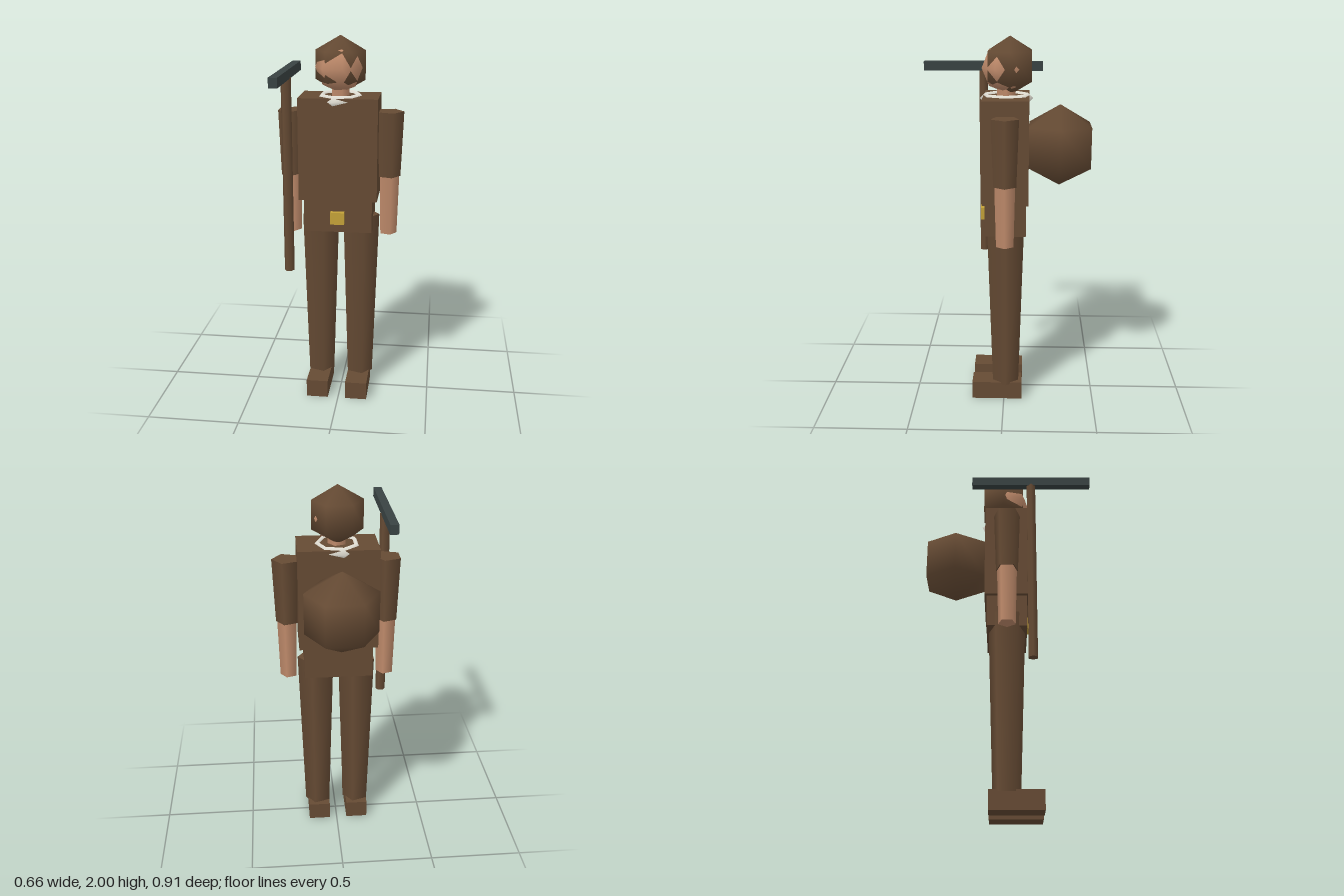
import * as THREE from 'three';

export function createModel() {
  const paint = (name, color) => {
    const m = new THREE.MeshStandardMaterial({ color });
    m.name = name;
    return m;
  };
  const brown = paint('brown cloth', 0x664b34);
  const skin = paint('skin', 0xc18c6c);
  const white = paint('white collar', 0xe6e3d8);
  const gold = paint('brass', 0xc4a238);
  const iron = paint('dark iron', 0x394343);

  const model = new THREE.Group();
  model.name = 'miner';
  // The body sits slightly off centre so that the whole outline is centred
  const body = new THREE.Group();
  body.name = 'body';
  body.position.set(-0.0085, 0, -0.009);
  model.add(body);

  const add = (parent, name, geometry, material, x, y, z) => {
    const mesh = new THREE.Mesh(geometry, material);
    mesh.name = name;
    mesh.position.set(x, y, z);
    parent.add(mesh);
    return mesh;
  };
  const box = (parent, name, material, size, x, y, z) =>
    add(parent, name, new THREE.BoxGeometry(...size), material, x, y, z);
  // Tapered post between two heights, with one corner pointing to +x
  const post = (parent, name, material, rTop, rBottom, top, bottom, sides, x, z = 0) =>
    add(parent, name,
      new THREE.CylinderGeometry(rTop, rBottom, top - bottom, sides).rotateY(Math.PI / 2),
      material, x, (top + bottom) / 2, z);

  // Trunk
  box(body, 'torso', brown, [0.417, 0.545, 0.242], 0, 1.42, 0);
  box(body, 'hips', brown, [0.365, 0.178, 0.217], 0, 1.06, 0);
  box(body, 'beltBuckle', gold, [0.074, 0.066, 0.05], -0.001, 1.054, 0.113);

  // Limbs
  for (const [side, s] of [['left', 1], ['right', -1]]) {
    post(body, side + 'UpperArm', brown, 0.075, 0.062, 1.614, 1.266, 5, s * 0.263);
    post(body, side + 'Forearm', skin, 0.056, 0.048, 1.27, 0.945, 5, s * 0.263);
    post(body, side + 'Leg', brown, 0.105, 0.075, 1.047, 0.09, 5, s * 0.1105);
    box(body, side + 'Boot', brown, [0.12, 0.1, 0.277], s * 0.1095, 0.05, 0.048);
  }

  // Collar, neck, face and hair
  const collar = new THREE.TorusGeometry(0.11, 0.03, 4, 7).rotateX(Math.PI / 2);
  add(body, 'collar', collar, white, 0, 1.675, 0).scale.set(0.95, 1, 1.04);
  post(body, 'neck', skin, 0.05, 0.05, 1.78, 1.66, 5, 0);
  add(body, 'face', new THREE.SphereGeometry(0.131, 7, 4), skin, 0, 1.838, 0);
  add(body, 'hair', new THREE.SphereGeometry(0.152, 6, 3), brown, 0, 1.848, -0.019);

  // Round pack on the back
  add(body, 'backpack', new THREE.SphereGeometry(0.218, 6, 3), brown, 0, 1.43, -0.285);

  // Pickaxe held upright by the right hand
  const pick = new THREE.Group();
  pick.name = 'pickaxe';
  model.add(pick);
  post(pick, 'pickHandle', brown, 0.027, 0.027, 1.8, 0.751, 6, -0.271, 0.125);
  box(pick, 'pickHead', iron, [0.044, 0.05, 0.658], -0.271, 1.819, 0.125);

  return model;
}
